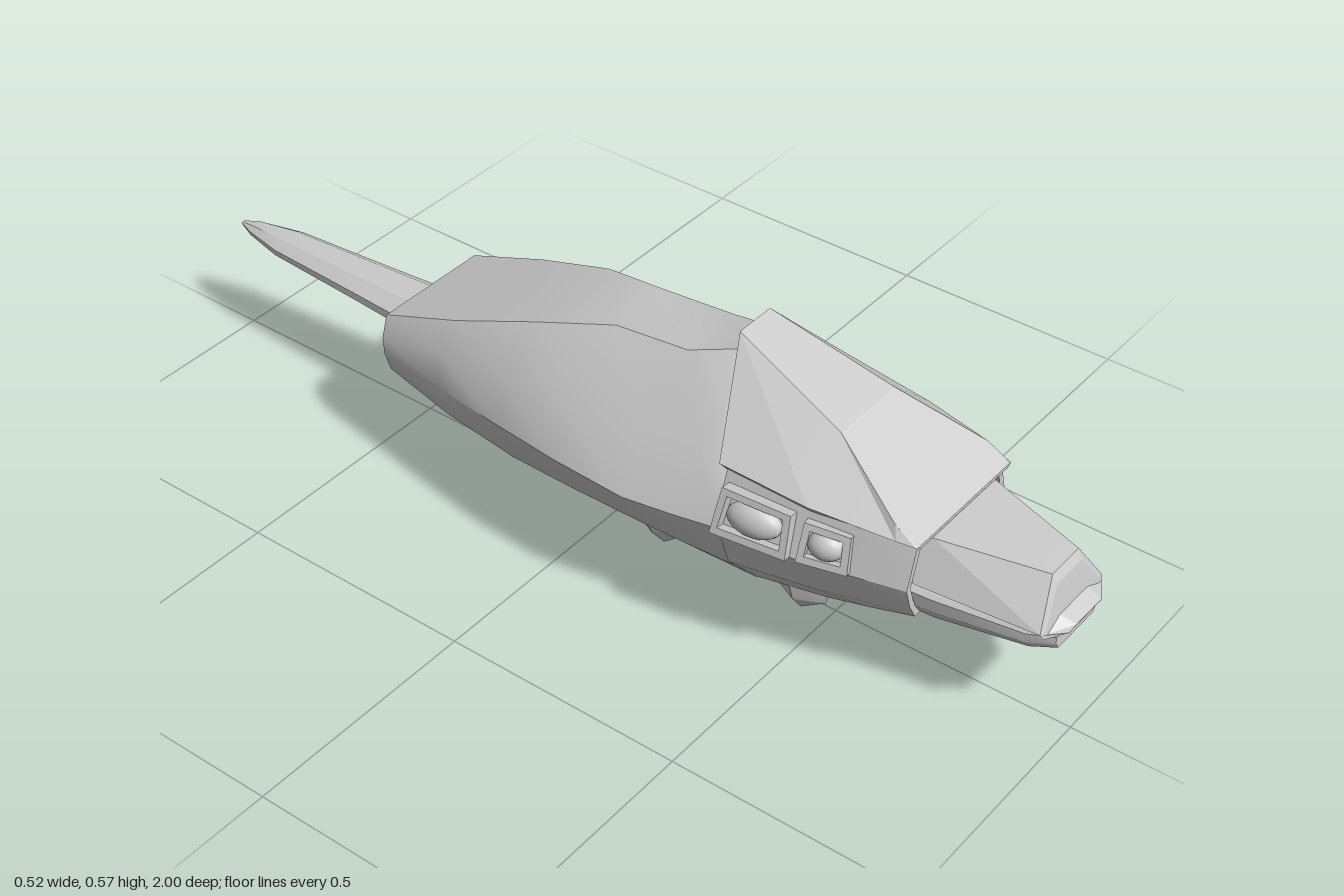
import * as THREE from 'three';
import { toCreasedNormals } from 'three/addons/utils/BufferGeometryUtils.js';

const grey = new THREE.MeshStandardMaterial({ color: 0xcccccc, side: THREE.DoubleSide });

// Skin mirrored half-sections, each [z, [x, y, dz?], ...] from top to bottom, back to front.
function loft(sections, crease = 0.1) {
  const pos = [], index = [];
  const n = (sections[0].length - 1) * 2;
  for (const [z, ...half] of sections) {
    const pts = half.map(([x, y, dz = 0]) => [x, y, z + dz]);
    const mirrored = pts.map(([x, y, zz]) => [-x, y, zz]).reverse();
    [...pts, ...mirrored].forEach((p) => pos.push(...p));
  }
  for (let i = 0; i < sections.length - 1; i++) {
    for (let j = 0; j < n; j++) {
      const a = i * n + j, b = i * n + (j + 1) % n;
      index.push(a, a + n, b, b, a + n, b + n);
    }
  }
  // Caps: strips between mirrored pairs of points
  const last = (sections.length - 1) * n;
  for (let j = 0; j < n / 2 - 1; j++) {
    const k = n - 1 - j;
    index.push(j, j + 1, k, j + 1, k - 1, k);
    index.push(last + j, last + k, last + j + 1, last + j + 1, last + k, last + k - 1);
  }
  const geo = new THREE.BufferGeometry();
  geo.setAttribute('position', new THREE.Float32BufferAttribute(pos, 3));
  geo.setIndex(index);
  return toCreasedNormals(geo, crease);
}

function add(parent, name, geo) {
  const mesh = new THREE.Mesh(geo, grey);
  mesh.name = name;
  parent.add(mesh);
  return mesh;
}

// Short foot: a tapering block ending in an off-centre point.
function footGeometry(side, { z, top, knee, tip, xIn, xOut, xTip }) {
  const rings = [[top, xIn, xOut, 0.068], [knee, xIn + 0.015, xOut - 0.02, 0.055], [tip, xTip, xTip, 0]];
  const pos = [], index = [];
  for (const [y, a, b, d] of rings) {
    const m = (a + b) / 2;
    [[a, 0], [m, d], [b, 0], [m, -d]].forEach(([x, dz]) => pos.push(side * x, y, z + dz));
  }
  for (let i = 0; i < 2; i++) {
    for (let j = 0; j < 4; j++) {
      const a = i * 4 + j, b = i * 4 + (j + 1) % 4;
      if (side > 0) index.push(a, a + 4, b, b, a + 4, b + 4);
      else index.push(a, b, a + 4, b, b + 4, a + 4);
    }
  }
  const geo = new THREE.BufferGeometry();
  geo.setAttribute('position', new THREE.Float32BufferAttribute(pos, 3));
  geo.setIndex(index);
  return toCreasedNormals(geo, 0.3);
}

// Raised slanted frame with a bulging eye inside.
function makeEye(w, h) {
  const eye = new THREE.Group();
  const frame = new THREE.Shape();
  const outline = (path, a, b) => {
    [[-a, -b], [a, -b], [a * 0.96, b * 0.85], [-a * 0.86, b]].forEach(([x, y], i) =>
      i ? path.lineTo(x, y) : path.moveTo(x, y));
    path.closePath();
    return path;
  };
  outline(frame, w / 2, h / 2);
  frame.holes.push(outline(new THREE.Path(), w / 2 - 0.014, h / 2 - 0.014));
  add(eye, 'eyeFrame', new THREE.ExtrudeGeometry(frame, { depth: 0.03, bevelEnabled: false })).position.z = -0.015;
  add(eye, 'eyeball', new THREE.SphereGeometry(1, 20, 14)).scale.set(w * 0.36, h * 0.35, 0.024);
  return eye;
}

export function createModel() {
  const model = new THREE.Group();
  model.name = 'creature';

  // Body: flat back and belly, rounded flanks
  add(model, 'body', loft([
    [-0.47, [0.13, 0.315, -0.01], [0.155, 0.28], [0.163, 0.25, 0.01], [0.148, 0.205, 0.01], [0.11, 0.178, 0.02]],
    [-0.30, [0.13, 0.38], [0.175, 0.325], [0.192, 0.26], [0.165, 0.18], [0.11, 0.128]],
    [-0.12, [0.11, 0.445], [0.195, 0.36], [0.226, 0.275], [0.185, 0.175], [0.105, 0.102]],
    [0.04, [0.072, 0.487], [0.2, 0.38], [0.253, 0.287], [0.198, 0.185], [0.1, 0.09]],
    [0.20, [0.07, 0.502], [0.2, 0.385], [0.262, 0.288], [0.2, 0.188], [0.1, 0.09]],
    [0.30, [0.045, 0.535], [0.198, 0.39, 0.03], [0.246, 0.289], [0.198, 0.189], [0.1, 0.09]],
    [0.39, [0.045, 0.5], [0.19, 0.385], [0.228, 0.29], [0.194, 0.19], [0.1, 0.09]],
  ], 0.6));

  // Head below the shield, with the mouth recessed into its front
  add(model, 'head', loft([
    [0.38, [0.06, 0.47], [0.19, 0.4], [0.23, 0.29], [0.194, 0.19], [0.1, 0.09]],
    [0.55, [0.08, 0.44], [0.178, 0.385], [0.212, 0.29], [0.17, 0.2], [0.115, 0.14]],
    [0.64, [0.1, 0.41], [0.166, 0.38], [0.188, 0.288], [0.155, 0.21], [0.124, 0.173]],
    [0.74, [0.12, 0.373], [0.136, 0.37], [0.16, 0.285], [0.145, 0.24], [0.125, 0.205]],
    [0.74, [0.11, 0.364], [0.125, 0.361], [0.148, 0.285], [0.134, 0.245], [0.115, 0.214]],
    [0.68, [0.11, 0.364], [0.125, 0.361], [0.148, 0.285], [0.134, 0.245], [0.115, 0.214]],
  ], 0.3));

  // Crest shield sloping from the high rear edge to the brow
  add(model, 'headShield', loft([
    [0.295, [0.045, 0.571], [0.202, 0.41, 0.075], [0.19, 0.395, 0.08], [0.045, 0.53]],
    [0.54, [0.083, 0.487], [0.192, 0.395, 0.01], [0.18, 0.38, 0.01], [0.07, 0.43]],
    [0.70, [0.147, 0.405], [0.16, 0.382, 0.01], [0.148, 0.374, 0.01], [0.08, 0.374]],
    [0.748, [0.148, 0.379], [0.15, 0.378], [0.14, 0.372], [0.08, 0.372]],
  ]));

  // Jaws
  add(model, 'upperJaw', loft([
    [0.70, [0.112, 0.371], [0.145, 0.295], [0.13, 0.288], [0.09, 0.32]],
    [0.75, [0.1, 0.37], [0.138, 0.288], [0.125, 0.28], [0.08, 0.31]],
    [0.95, [0.043, 0.358], [0.102, 0.272, 0.02], [0.09, 0.264, 0.02], [0.05, 0.29]],
    [0.995, [0.04, 0.34, -0.035], [0.097, 0.262, -0.02], [0.055, 0.262, 0.005], [0.03, 0.264, 0.005]],
  ]));
  add(model, 'lowerJaw', loft([
    [0.68, [0.11, 0.255], [0.138, 0.265], [0.135, 0.235], [0.112, 0.206]],
    [0.77, [0.1, 0.25], [0.132, 0.265], [0.128, 0.235], [0.108, 0.207]],
    [0.94, [0.07, 0.245], [0.098, 0.257], [0.095, 0.235], [0.08, 0.216]],
    [0.985, [0.045, 0.245], [0.07, 0.253], [0.068, 0.237], [0.058, 0.222]],
  ], 0.4));

  // Tail: slender blade with a bevelled section
  add(model, 'tail', loft([[-1, 0.006, 0.003], [-0.96, 0.022, 0.012], [-0.87, 0.042, 0.02],
    [-0.65, 0.056, 0.026], [-0.46, 0.07, 0.032]].map(([z, w, h]) =>
    [z, [w * 0.5, 0.25 + h], [w, 0.25 + h * 0.3], [w, 0.25 - h * 0.3], [w * 0.5, 0.25 - h]]), 0.3));

  // Paired feet and eyes
  const feet = {
    frontFoot: { z: 0.465, top: 0.14, knee: 0.075, tip: 0.037, xIn: 0.025, xOut: 0.115, xTip: 0.066 },
    middleFoot: { z: 0.13, top: 0.1, knee: 0.05, tip: 0, xIn: 0.008, xOut: 0.1, xTip: 0.04 },
    rearFoot: { z: -0.203, top: 0.135, knee: 0.085, tip: 0.04, xIn: 0.015, xOut: 0.105, xTip: 0.055 },
  };
  const eyes = { largeEye: [0.215, 0.335, 0.457, 0.15, 0.092], smallEye: [0.19, 0.331, 0.592, 0.095, 0.078] };
  for (const side of [1, -1]) {
    const prefix = side > 0 ? 'left ' : 'right ';
    for (const [name, spec] of Object.entries(feet)) add(model, prefix + name, footGeometry(side, spec));
    for (const [name, [x, y, z, w, h]] of Object.entries(eyes)) {
      const eye = makeEye(w, h);
      eye.name = prefix + name;
      if (side > 0) eye.children.forEach((part) => { part.rotation.y = Math.PI; });
      if (side > 0) eye.children[0].position.z = 0.015;
      eye.position.set(side * x, y, z);
      eye.lookAt(side * (x + 0.95), y + 0.27, z + (name === 'largeEye' ? 0.12 : 0.24));
      model.add(eye);
    }
  }
  return model;
}
